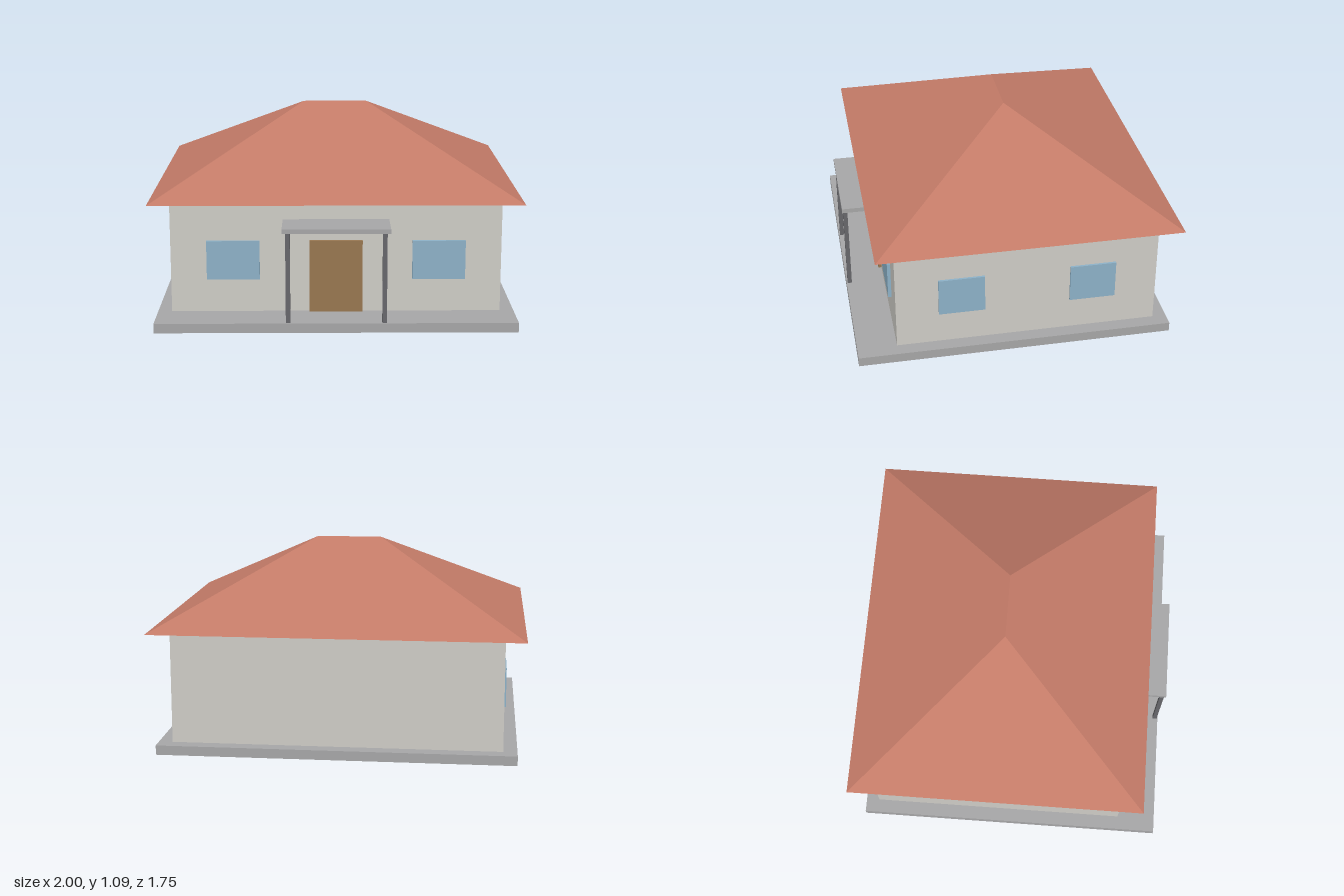
import * as THREE from 'three';

const paint = (name, color) => {
  const m = new THREE.MeshStandardMaterial({ color });
  m.name = name;
  return m;
};

// Hipped roof: rectangular eaves rising to a short ridge, closed underneath
function hipRoof(halfX, zBack, zFront, yEave, yRidge, ridgeHalf) {
  const zMid = (zBack + zFront) / 2;
  const a = [-halfX, yEave, zFront], b = [halfX, yEave, zFront];
  const c = [halfX, yEave, zBack], d = [-halfX, yEave, zBack];
  const l = [-ridgeHalf, yRidge, zMid], r = [ridgeHalf, yRidge, zMid];
  const triangles = [
    a, b, r, a, r, l, // front slope
    c, d, l, c, l, r, // back slope
    b, c, r, d, a, l, // hips
    a, d, c, a, c, b, // underside
  ];
  const geometry = new THREE.BufferGeometry();
  geometry.setAttribute('position', new THREE.Float32BufferAttribute(triangles.flat(), 3));
  geometry.computeVertexNormals();
  return geometry;
}

export function createModel() {
  const house = new THREE.Group();
  house.name = 'house';

  const wall = paint('wall plaster', 0xcdcbc5);
  const tile = paint('roof tile', 0xc27a67);
  const concrete = paint('concrete', 0xa5a5a6);
  const glass = paint('window glass', 0x8cb0c6);
  const wood = paint('door wood', 0x977650);
  const metal = paint('post metal', 0x66666a);

  // Box given by its extents along each axis
  const box = (name, material, [x0, x1], [y0, y1], [z0, z1]) => {
    const mesh = new THREE.Mesh(new THREE.BoxGeometry(x1 - x0, y1 - y0, z1 - z0), material);
    mesh.position.set((x0 + x1) / 2, (y0 + y1) / 2, (z0 + z1) / 2);
    mesh.name = name;
    house.add(mesh);
  };

  // Slab and walls
  box('foundation', concrete, [-0.965, 0.965], [0, 0.052], [-0.84, 0.875]);
  box('walls', wall, [-0.89, 0.89], [0.052, 0.665], [-0.765, 0.66]);

  // Roof
  const roof = new THREE.Mesh(hipRoof(1, -0.875, 0.765, 0.665, 1.09, 0.18), tile);
  roof.name = 'roof';
  house.add(roof);

  // Door and porch canopy
  box('door', wood, [-0.143, 0.143], [0.052, 0.45], [0.65, 0.678]);
  box('porchCanopy', concrete, [-0.285, 0.285], [0.54, 0.565], [0.66, 0.875]);

  // Mirrored porch posts and windows
  const sides = { left: 1, right: -1 };
  for (const [side, s] of Object.entries(sides)) {
    const span = (p, q) => [Math.min(s * p, s * q), Math.max(s * p, s * q)];
    box(side + 'PorchPost', metal, span(0.243, 0.267), [0.052, 0.54], [0.845, 0.869]);
    box(side + 'FrontWindow', glass, span(0.411, 0.696), [0.235, 0.449], [0.65, 0.678]);
    box(side + 'SideWindowFront', glass, span(0.88, 0.902), [0.235, 0.449], [0.18, 0.43]);
    box(side + 'SideWindowBack', glass, span(0.88, 0.902), [0.235, 0.449], [-0.535, -0.285]);
  }

  return house;
}
